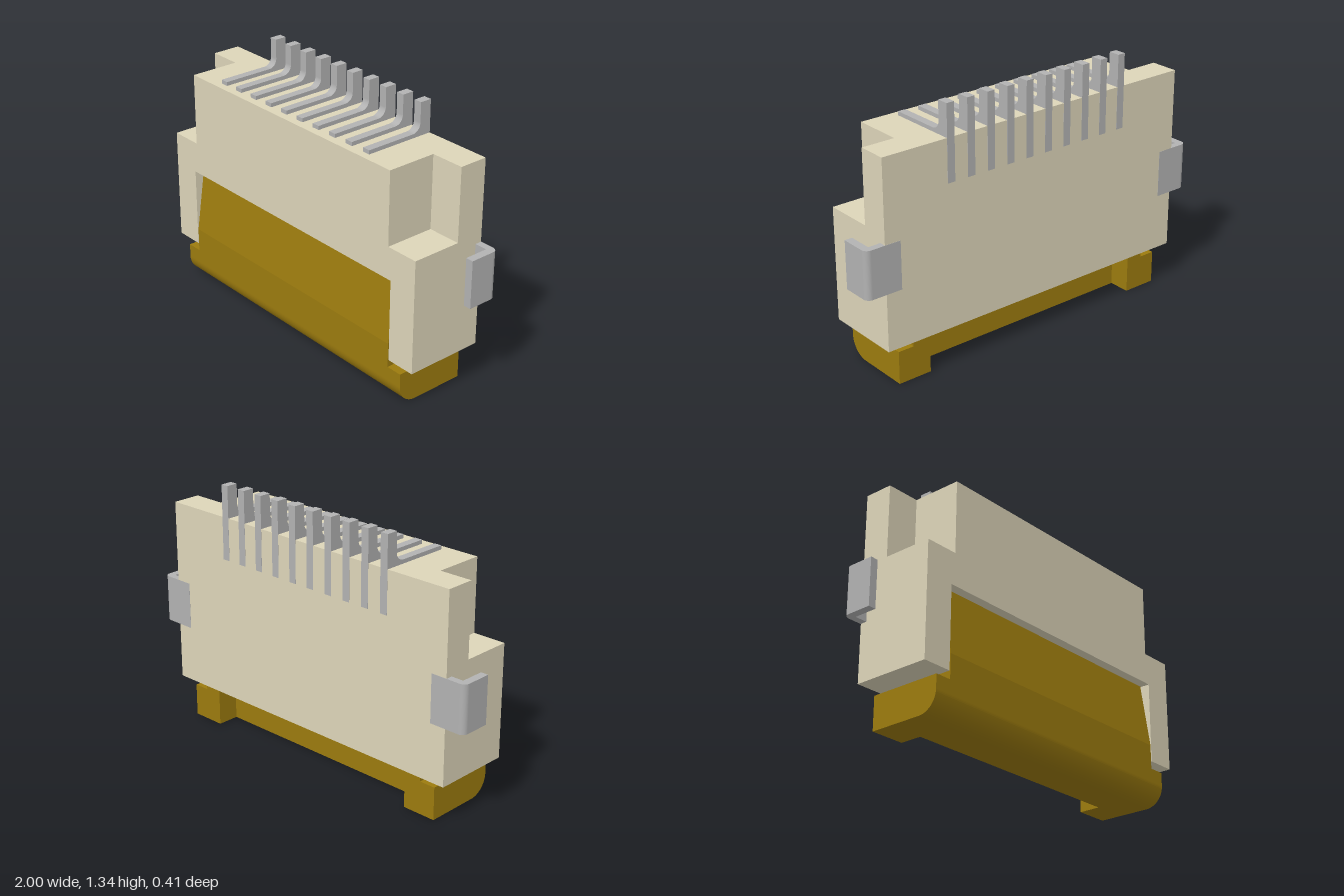
import * as THREE from 'three';

const material = (color) => new THREE.MeshStandardMaterial({ color });

export function createModel() {
  const model = new THREE.Group();
  const ivory = material(0xddd5b9);
  const amber = material(0x9c7b0e);
  const metal = material(0xb2b2b2);

  const add = (name, geometry, mat, parent = model) => {
    const mesh = new THREE.Mesh(geometry, mat);
    mesh.name = name;
    parent.add(mesh);
    return mesh;
  };
  const polygon = (points) => new THREE.Shape(points.map(([a, b]) => new THREE.Vector2(a, b)));
  const extrude = (shape, depth) =>
    new THREE.ExtrudeGeometry(shape, { depth, bevelEnabled: false, curveSegments: 12 });
  // Extrudes a (z, y) profile along x, between x0 and x1
  const sideExtrude = (shape, x0, x1) =>
    extrude(shape, x1 - x0).translate(0, 0, -x1).rotateY(-Math.PI / 2);
  const box = (x0, x1, y0, y1, z0, z1) =>
    new THREE.BoxGeometry(x1 - x0, y1 - y0, z1 - z0)
      .translate((x0 + x1) / 2, (y0 + y1) / 2, (z0 + z1) / 2);

  // Housing: back slab, and a front with shoulder notches and an opening for the flap
  const housing = new THREE.Group();
  housing.name = 'housing';
  model.add(housing);
  add('housingBack', box(-0.895, 0.895, 0.21, 1.17, -0.205, -0.055), ivory, housing);
  const half = [[0.72, 1.17], [0.72, 0.795], [0.895, 0.795], [0.895, 0.21], [0.74, 0.21], [0.74, 0.63]];
  const mirrored = half.map(([x, y]) => [-x, y]).reverse();
  add('housingFront', extrude(polygon([...half, ...mirrored]), 0.26).translate(0, 0, -0.055), ivory, housing);

  // Locking flap: tilted plate with a rounded lower front edge
  const flap = new THREE.Group();
  flap.name = 'lockingFlap';
  model.add(flap);
  const flapProfile = (back, top) => {
    const s = new THREE.Shape();
    s.moveTo(back, 0);
    s.lineTo(0.105, 0);
    s.absarc(0.105, 0.1, 0.1, -Math.PI / 2, 0, false);
    top.forEach(([z, y]) => s.lineTo(z, y));
    s.closePath();
    return s;
  };
  add('flapPlate', sideExtrude(
    flapProfile(-0.06, [[0.205, 0.295], [0.155, 0.63], [-0.06, 0.63]]), -0.735, 0.735), amber, flap);
  for (const side of [-1, 1]) {
    const span = (a, b) => (side > 0 ? [a, b] : [-b, -a]);
    add('flapEnd', sideExtrude(
      flapProfile(-0.175, [[0.205, 0.17], [-0.175, 0.17]]), ...span(0.735, 0.82)), amber, flap);
    add('flapFoot', box(...span(0.64, 0.735), 0, 0.22, -0.175, -0.06), amber, flap);
  }

  // Contacts: a thin strip on top, curving up into a solder tail
  const pin = new THREE.Shape();
  pin.moveTo(-0.206, 0.95);
  pin.lineTo(-0.145, 0.95);
  pin.lineTo(-0.145, 1.165);
  pin.lineTo(0.165, 1.165);
  pin.lineTo(0.165, 1.19);
  pin.lineTo(-0.1, 1.19);
  pin.absarc(-0.1, 1.235, 0.045, -Math.PI / 2, -Math.PI, true);
  pin.lineTo(-0.145, 1.335);
  pin.lineTo(-0.206, 1.335);
  pin.closePath();
  const pinGeometry = sideExtrude(pin, -0.021, 0.021);
  const pitch = 0.1155;
  for (let i = 0; i < 10; i++) {
    add('contactPin', pinGeometry, metal).position.x = (i - 4.5) * pitch;
  }

  // Side solder clips: L-shaped, drawn in (x, -z) and extruded upwards
  const clip = new THREE.Shape();
  clip.moveTo(0.81, 0.206);
  clip.lineTo(0.81, 0.17);
  clip.lineTo(0.96, 0.17);
  clip.lineTo(0.96, 0.045);
  clip.lineTo(1, 0.045);
  clip.lineTo(1, 0.176);
  clip.absarc(0.97, 0.176, 0.03, 0, Math.PI / 2, false);
  clip.closePath();
  const clipGeometry = extrude(clip, 0.245).rotateX(-Math.PI / 2).translate(0, 0.505, 0);
  add('leftClip', clipGeometry, metal);
  // Half a turn about z mirrors the clip in x, as it is symmetric in height
  const rightClip = add('rightClip', clipGeometry, metal);
  rightClip.rotation.z = Math.PI;
  rightClip.position.y = 2 * 0.505 + 0.245;

  return model;
}
